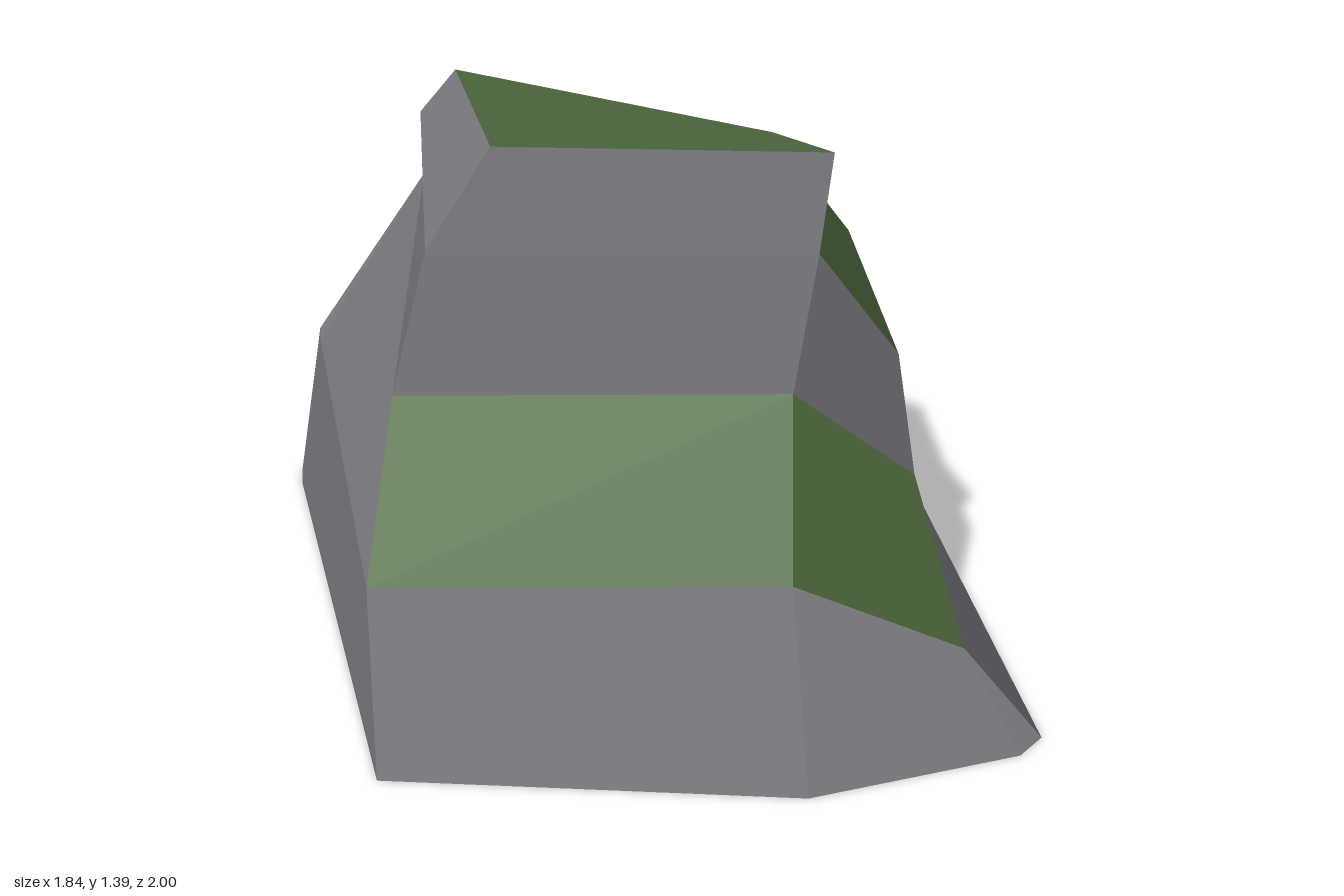
import * as THREE from 'three';

// Named corners of the boulder
const P = {
  // front ledge
  A1: [-0.75, 0.465, 0.71], A2: [-0.665, 0.81, 0.41], A3: [0.28, 0.785, 0.48],
  A4: [0.21, 0.465, 0.845], A5: [0.63, 0.485, 0.335], A6: [0.66, 0.205, 0.73],
  // side shelf
  B2: [0.35, 1.11, 0.41], B3: [0.605, 0.77, 0.225], B4: [0.685, 0.805, -0.655],
  // crown
  T1: [-0.415, 1.387, 0.35], T2: [0.38, 1.355, 0.405], T3: [0.43, 1.14, -0.54], T4: [-0.43, 1.315, -0.675],
  // -x shoulder, stepping down to the rear corner
  L1: [-0.575, 1.16, 0.405], L2: [-0.525, 1.17, -0.79], L3: [-0.515, 0.94, -0.955],
  M1: [-0.84, 0.475, -0.86], M2: [-0.84, 0.475, -0.96],
  // +x rear corner
  N1: [0.78, 0.305, -0.84], N2: [0.785, 0.31, -0.93],
  // middle of the back
  K1: [0.245, 0.805, -0.805], K2: [0.23, 0.455, -0.91], K3: [0.225, 0, -1],
  // footprint
  C0: [-0.92, 0, -0.9], C1: [-0.92, 0, -1], C2: [-0.75, 0, 0.78], C3: [0.225, 0, 1],
  C4: [0.76, 0, 0.895], C5: [0.835, 0, 0.825], C6: [0.915, 0, -0.9], C7: [0.84, 0, -1],
};

const core = new THREE.Vector3(0, 0.4, -0.1);

// Flat polygons fanned from their first corner, turned to face away from the core
function facets(faces) {
  const pos = [], nor = [];
  for (const face of faces) {
    let pts = face.split(' ').map((k) => new THREE.Vector3(...P[k]));
    const n = new THREE.Vector3(), mid = new THREE.Vector3();
    pts.forEach((p, i) => {
      n.add(p.clone().cross(pts[(i + 1) % pts.length]));
      mid.addScaledVector(p, 1 / pts.length);
    });
    n.normalize();
    if (n.dot(mid.sub(core)) < 0) {
      n.negate();
      pts = [pts[0], ...pts.slice(1).reverse()];
    }
    for (let i = 1; i < pts.length - 1; i++) {
      for (const p of [pts[0], pts[i], pts[i + 1]]) {
        pos.push(...p.toArray());
        nor.push(...n.toArray());
      }
    }
  }
  const g = new THREE.BufferGeometry();
  g.setAttribute('position', new THREE.Float32BufferAttribute(pos, 3));
  g.setAttribute('normal', new THREE.Float32BufferAttribute(nor, 3));
  return g;
}

export function createModel() {
  const stone = new THREE.MeshStandardMaterial({ color: 0x7c7c82 });
  stone.name = 'stone';
  const moss = new THREE.MeshStandardMaterial({ color: 0x4f6b40 });
  moss.name = 'moss';

  const group = new THREE.Group();
  group.name = 'mossyRock';
  const add = (name, material, faces) => {
    const mesh = new THREE.Mesh(facets(faces), material);
    mesh.name = name;
    group.add(mesh);
  };

  // Moss patches on the crown and ledges
  add('crownMoss', moss, ['T2 T3 T4 T1']);
  add('frontLedgeMoss', moss, ['A1 A4 A3 A2']);
  add('cornerLedgeMoss', moss, ['A4 A6 A5 A3']);
  add('sideShelfMoss', moss, ['B2 B3 B4 T3']);

  // Bare stone
  add('frontStone', stone, [
    'A2 A3 B2 L1', 'L1 B2 T2 T1', 'A3 A5 B3 B2', 'T2 B2 T3',
    'A1 C2 C3 A4', 'A4 C3 C4 A6', 'A6 C4 C5',
  ]);
  add('leftStone', stone, ['A5 A6 N1 B4 B3', 'A6 C5 C6 N1', 'N1 C6 C7 N2', 'B4 N1 N2']);
  add('rightStone', stone, [
    'T1 T4 L2 L1', 'L1 L2 L3 A2', 'A2 L3 M1 A1', 'L3 M2 M1',
    'A1 M1 C0 C2', 'M1 M2 C1 C0',
  ]);
  add('backStone', stone, [
    'T4 T3 K1 L2', 'L2 K1 L3', 'T3 B4 K1', 'L3 K1 K2 M2',
    'K1 B4 N2 K2', 'M2 K2 K3 C1', 'K2 N2 C7 K3',
  ]);
  add('underside', stone, ['C0 C2 C3 C4 C5 C6 C7 K3 C1']);
  return group;
}
